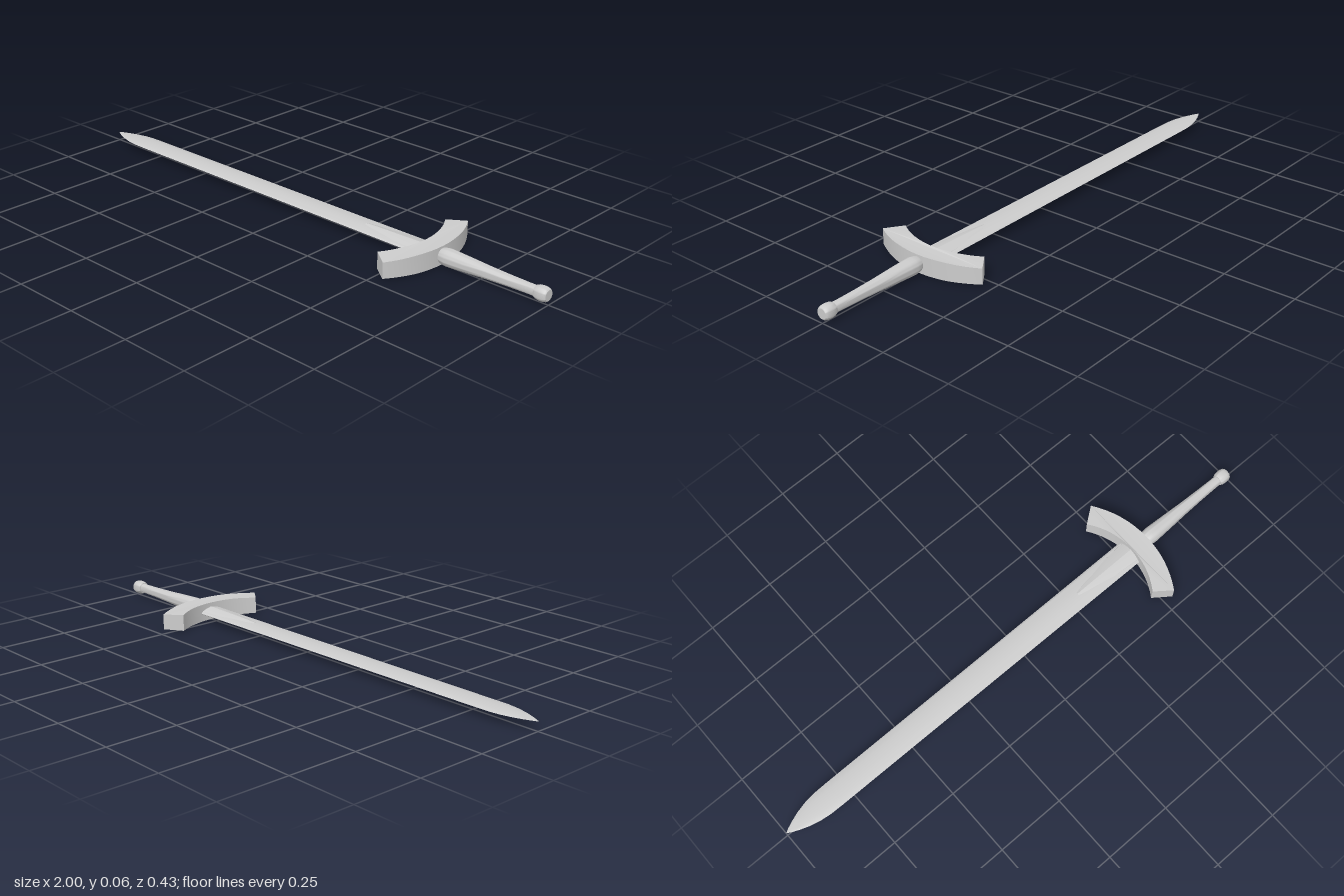
import * as THREE from 'three';
import { toCreasedNormals } from 'three/addons/utils/BufferGeometryUtils.js';

const MID = 0.034; // height of the sword's long axis

// Convex diamond section: [fraction of half width, fraction of half height]
const SECTION = [[1, 0], [0.88, 0.38], [0.5, 0.74], [0, 1], [-0.5, 0.74], [-0.88, 0.38],
  [-1, 0], [-0.88, -0.38], [-0.5, -0.74], [0, -1], [0.5, -0.74], [0.88, -0.38]];

// Skin the section through stations [x, half width, half height]
function loft(stations) {
  const n = SECTION.length, positions = [], index = [];
  stations.forEach(([x, w, h], i) => {
    SECTION.forEach(([sz, sy], j) => {
      positions.push(x, sy * h, sz * w);
      if (i === stations.length - 1) return;
      const a = i * n + j, b = i * n + (j + 1) % n;
      index.push(a, a + n, b, b, a + n, b + n);
    });
  });
  const geometry = new THREE.BufferGeometry();
  geometry.setAttribute('position', new THREE.Float32BufferAttribute(positions, 3));
  geometry.setIndex(index);
  return toCreasedNormals(geometry, 0.3);
}

// Curved crossguard: a band between two arcs, thinning slightly to its ends
function guardGeometry() {
  const outer = { cx: 0.212, r: 0.388, a: Math.asin(0.215 / 0.388) };
  const inner = { cx: 0.24, r: 0.29, a: Math.asin(0.17 / 0.29) };
  const steps = 16, point = (arc, t) =>
    new THREE.Vector2(arc.cx + arc.r * Math.cos(arc.a * t), arc.r * Math.sin(arc.a * t));
  const outline = [];
  for (let i = 0; i <= steps; i++) outline.push(point(outer, (i / steps) * 2 - 1));
  for (let i = 0; i <= steps; i++) outline.push(point(inner, 1 - (i / steps) * 2));
  const geometry = new THREE.ExtrudeGeometry(new THREE.Shape(outline), { depth: 2, bevelEnabled: false });
  geometry.translate(0, 0, -1).rotateX(-Math.PI / 2);
  const p = geometry.attributes.position;
  for (let i = 0; i < p.count; i++) {
    const taper = Math.max(0, Math.abs(p.getZ(i)) - 0.1) / 0.115;
    p.setY(i, p.getY(i) * (0.032 - 0.004 * taper));
  }
  return toCreasedNormals(geometry, 0.5);
}

// Turned part along x from a profile of [x, radius]
function turned(profile) {
  const geometry = new THREE.LatheGeometry(profile.map(([x, r]) => new THREE.Vector2(r, x)), 32);
  geometry.rotateZ(-Math.PI / 2);
  return toCreasedNormals(geometry, 0.6);
}

export function createModel() {
  const sword = new THREE.Group();
  sword.name = 'sword';
  const material = new THREE.MeshStandardMaterial({ color: 0xcccccc });
  const add = (name, geometry) => {
    const mesh = new THREE.Mesh(geometry, material);
    mesh.name = name;
    mesh.position.y = MID;
    sword.add(mesh);
  };

  add('blade', loft([
    [-1, 0, 0.001], [-0.985, 0.009, 0.002], [-0.96, 0.02, 0.003], [-0.93, 0.031, 0.004],
    [-0.89, 0.041, 0.005], [-0.85, 0.046, 0.006], [-0.8, 0.047, 0.0065], [-0.3, 0.048, 0.008],
    [0.2, 0.049, 0.009], [0.56, 0.05, 0.011],
  ]));

  // Thickened root of the blade, running into the guard
  add('bladeRoot', loft([
    [0.27, 0, 0], [0.28, 0.016, 0.011], [0.32, 0.024, 0.013], [0.42, 0.038, 0.015], [0.56, 0.048, 0.018],
  ]));

  add('crossguard', guardGeometry());

  add('grip', turned([
    [0.59, 0], [0.59, 0.021], [0.605, 0.027], [0.625, 0.03], [0.65, 0.029], [0.7, 0.0265],
    [0.78, 0.022], [0.86, 0.019], [0.93, 0.0175], [0.97, 0.0175],
  ]));

  add('pommel', turned([
    [0.955, 0], [0.955, 0.02], [0.963, 0.0235], [0.975, 0.025], [0.987, 0.0245], [0.996, 0.022], [1, 0.018], [1, 0],
  ]));

  return sword;
}
